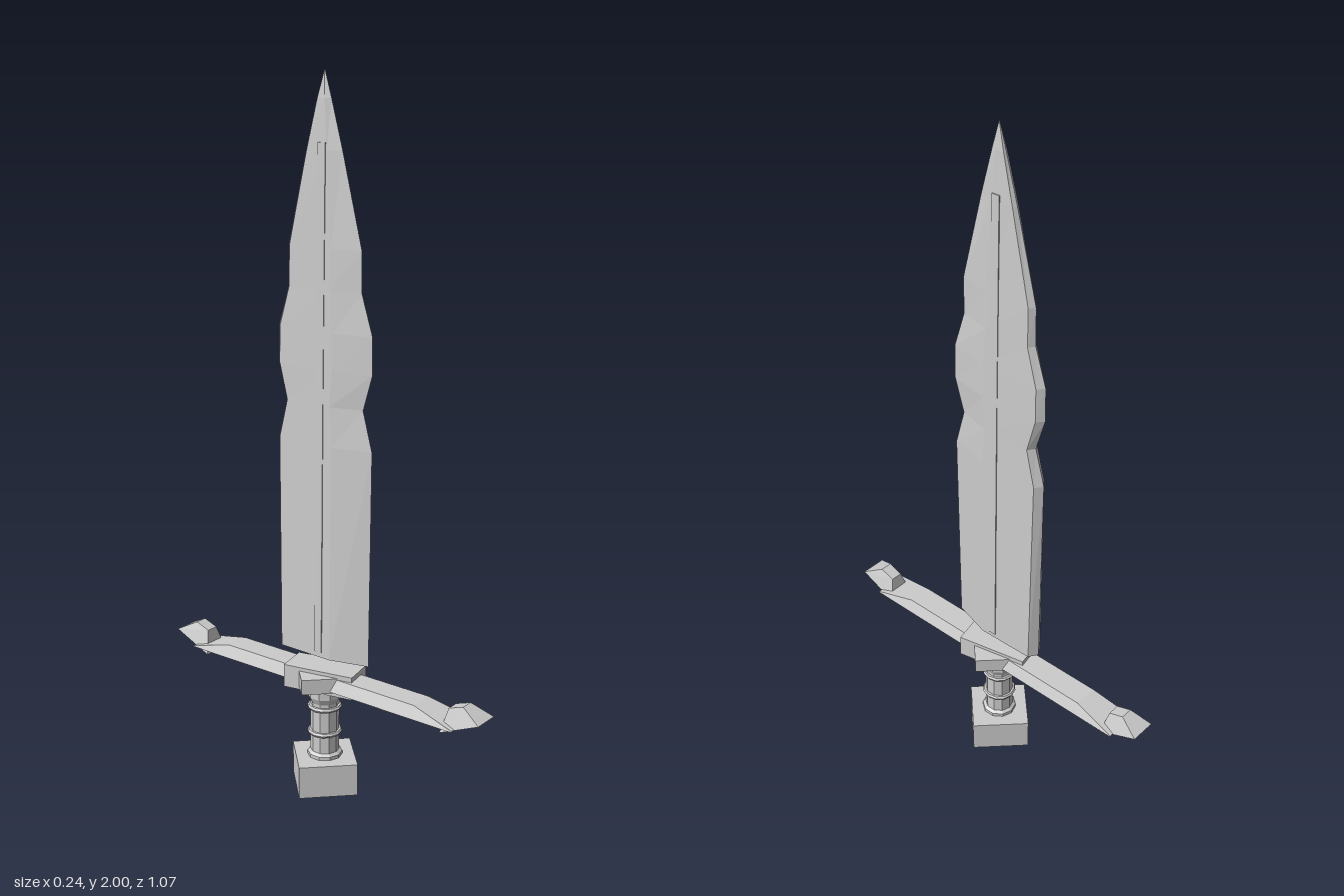
import * as THREE from 'three';

const steel = new THREE.MeshStandardMaterial({ color: 0xcccccc });
steel.name = 'steel';
steel.flatShading = true;

// Closed solid through cross-sections that run counter-clockwise about the path
function loft(rings) {
  const pos = [];
  const n = rings[0].length;
  const tri = (a, b, c) => pos.push(...a, ...b, ...c);
  for (let i = 0; i < rings.length - 1; i++) {
    for (let j = 0; j < n; j++) {
      const k = (j + 1) % n;
      tri(rings[i][j], rings[i][k], rings[i + 1][k]);
      tri(rings[i][j], rings[i + 1][k], rings[i + 1][j]);
    }
  }
  const first = rings[0], last = rings[rings.length - 1];
  for (let j = 1; j < n - 1; j++) {
    tri(first[0], first[j + 1], first[j]);
    tri(last[0], last[j], last[j + 1]);
  }
  const geo = new THREE.BufferGeometry();
  geo.setAttribute('position', new THREE.Float32BufferAttribute(pos, 3));
  geo.computeVertexNormals();
  return geo;
}

export function createModel() {
  const group = new THREE.Group();
  group.name = 'sword';
  const add = (name, geo, y = 0, turn = 0) => {
    const mesh = new THREE.Mesh(geo, steel);
    mesh.name = name;
    mesh.position.y = y;
    mesh.rotation.y = turn;
    group.add(mesh);
    return mesh;
  };

  // Pommel: square block set cornerwise
  add('pommel', new THREE.BoxGeometry(0.167, 0.095, 0.167), 0.0475, Math.PI / 4);

  // Grip with flared ends and raised rings
  const grip = [[0, 0.09], [0.05, 0.09], [0.05, 0.105], [0.041, 0.112], [0.041, 0.262],
    [0.05, 0.28], [0.05, 0.31], [0, 0.31]];
  add('grip', new THREE.LatheGeometry(grip.map(p => new THREE.Vector2(...p)), 10));
  for (const y of [0.17, 0.247]) {
    const ring = add('gripRing', new THREE.TorusGeometry(0.043, 0.007, 6, 12), y);
    ring.rotation.x = Math.PI / 2;
  }

  // Guard centre: cornerwise block and a slightly turned block
  add('guardBlock', new THREE.BoxGeometry(0.15, 0.044, 0.15), 0.337, Math.PI / 4);
  add('guardCollar', new THREE.BoxGeometry(0.0965, 0.067, 0.212), 0.336, 0.21);

  // Crossguard bar with sloping ends: z, top height, top half width
  const bar = [[-0.46, 0.324, 0.05], [-0.33, 0.355, 0.036], [0.33, 0.355, 0.036], [0.46, 0.324, 0.05]];
  add('crossguard', loft(bar.map(([z, y, w]) =>
    [[0.05, 0.32, z], [w, y, z], [-w, y, z], [-0.05, 0.32, z]])));

  // Upturned guard tips
  const quad = (w, y1, z1, y0, z0) => [[-w, y1, z1], [w, y1, z1], [w, y0, z0], [-w, y0, z0]];
  const tip = loft([quad(0.039, 0.355, 0.535, 0.302, 0.415), quad(0.018, 0.386, 0.475, 0.37, 0.43)]);
  for (const turn of [0, Math.PI]) add('guardTip', tip, 0, turn);

  // Blade: height, half width along z, half thickness along x
  const blade = [[0.405, 0.152, 0.031], [1.02, 0.158, 0.025], [1.13, 0.128, 0.0235],
    [1.23, 0.158, 0.0225], [1.33, 0.157, 0.021], [1.44, 0.122, 0.019], [1.55, 0.121, 0.017],
    [1.8, 0.058, 0.0125], [1.93, 0.022, 0.008], [2, 0.001, 0.001]];
  add('blade', loft(blade.map(([y, h, w]) => {
    const back = -h * 0.89;
    return [[0, y, h], [w, y, h * 0.25], [w * 0.88, y, back], [0, y, -h],
      [-w * 0.88, y, back], [-w, y, h * 0.25]];
  })));

  // Slim ridge down the middle of each blade face
  const ridge = [[0.42, 0.033], [1.02, 0.0265], [1.55, 0.0185], [1.82, 0.0145]];
  add('bladeRidge', loft(ridge.map(([y, w]) =>
    [[-w, y, 0.012], [w, y, 0.012], [w, y, -0.012], [-w, y, -0.012]])));

  return group;
}
